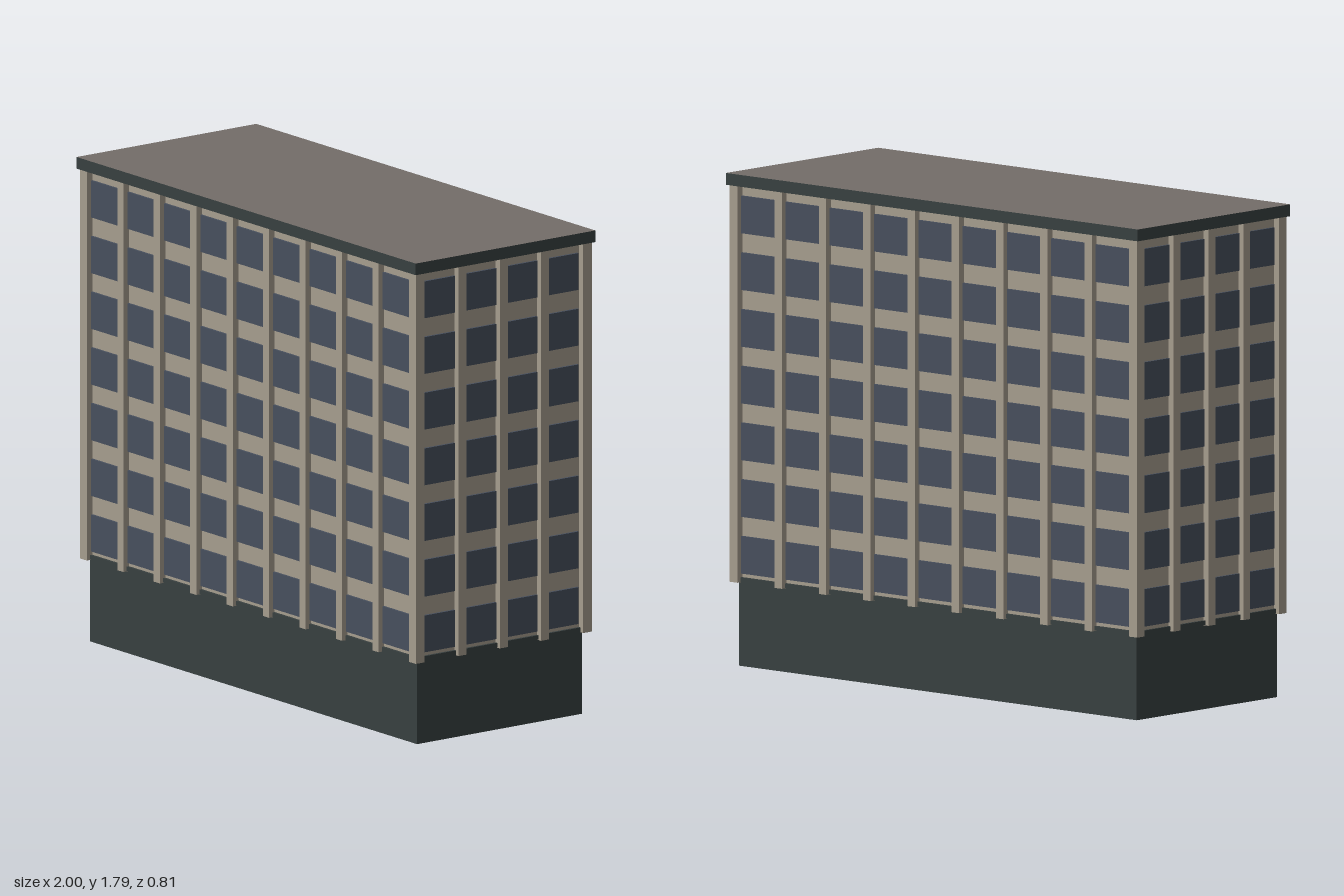
import * as THREE from 'three';

const mat = (name, color) => {
  const m = new THREE.MeshStandardMaterial({ color });
  m.name = name;
  return m;
};

export function createModel() {
  const stone = mat('beige stone', 0xa69d8e);
  const glass = mat('blue grey glass', 0x474f5d);
  const dark = mat('dark green grey', 0x384040);
  const roofing = mat('brown grey roofing', 0x736d69);

  const model = new THREE.Group();
  model.name = 'officeBlock';

  const box = (parent, name, material, [w, h, d], [x, y, z]) => {
    const mesh = new THREE.Mesh(new THREE.BoxGeometry(w, h, d), material);
    mesh.name = name;
    mesh.position.set(x, y, z);
    parent.add(mesh);
    return mesh;
  };

  const halfX = 0.965, halfZ = 0.373;   // wall planes
  const floorY = 0.305, topY = 1.745;   // upper storeys
  const midY = (floorY + topY) / 2, wallH = topY - floorY;

  // Ground storey, upper walls and the ledge between them
  box(model, 'base', dark, [halfX * 2, floorY, halfZ * 2], [0, floorY / 2, 0]);
  box(model, 'walls', stone, [halfX * 2, wallH, halfZ * 2], [0, midY, 0]);
  box(model, 'ledge', dark, [halfX * 2 + 0.02, 0.016, halfZ * 2 + 0.02], [0, floorY + 0.01, 0]);

  // Overhanging cornice with the roof surface as its top face
  box(model, 'cornice', [dark, dark, roofing, dark, dark, dark],
    [2, 0.043, 0.812], [0, topY + 0.0215, 0]);

  // One facade facing +z: window grid plus the pilasters between bays
  const addFacade = (name, angle, distance, bays, pitch, paneW) => {
    const facade = new THREE.Group();
    facade.name = name;
    facade.rotation.y = angle;
    for (let bay = 0; bay < bays; bay++) {
      const x = (bay - (bays - 1) / 2) * pitch;
      for (let row = 0; row < 7; row++) {
        box(facade, 'window', glass, [paneW, 0.136, 0.009],
          [x, 0.405 + row * 0.2058, distance + 0.0045]);
      }
      if (bay > 0) {
        box(facade, 'pilaster', stone, [0.036, wallH, 0.03],
          [x - pitch / 2, midY, distance + 0.01]);
      }
    }
    model.add(facade);
  };
  addFacade('frontFacade', 0, halfZ, 9, 0.215, 0.174);
  addFacade('backFacade', Math.PI, halfZ, 9, 0.215, 0.174);
  addFacade('leftFacade', Math.PI / 2, halfX, 4, 0.186, 0.142);
  addFacade('rightFacade', -Math.PI / 2, halfX, 4, 0.186, 0.142);

  // Square posts at the four corners
  for (const sx of [-1, 1]) {
    for (const sz of [-1, 1]) {
      box(model, 'cornerPost', stone, [0.04, wallH, 0.04], [sx * 0.97, midY, sz * 0.378]);
    }
  }
  return model;
}
